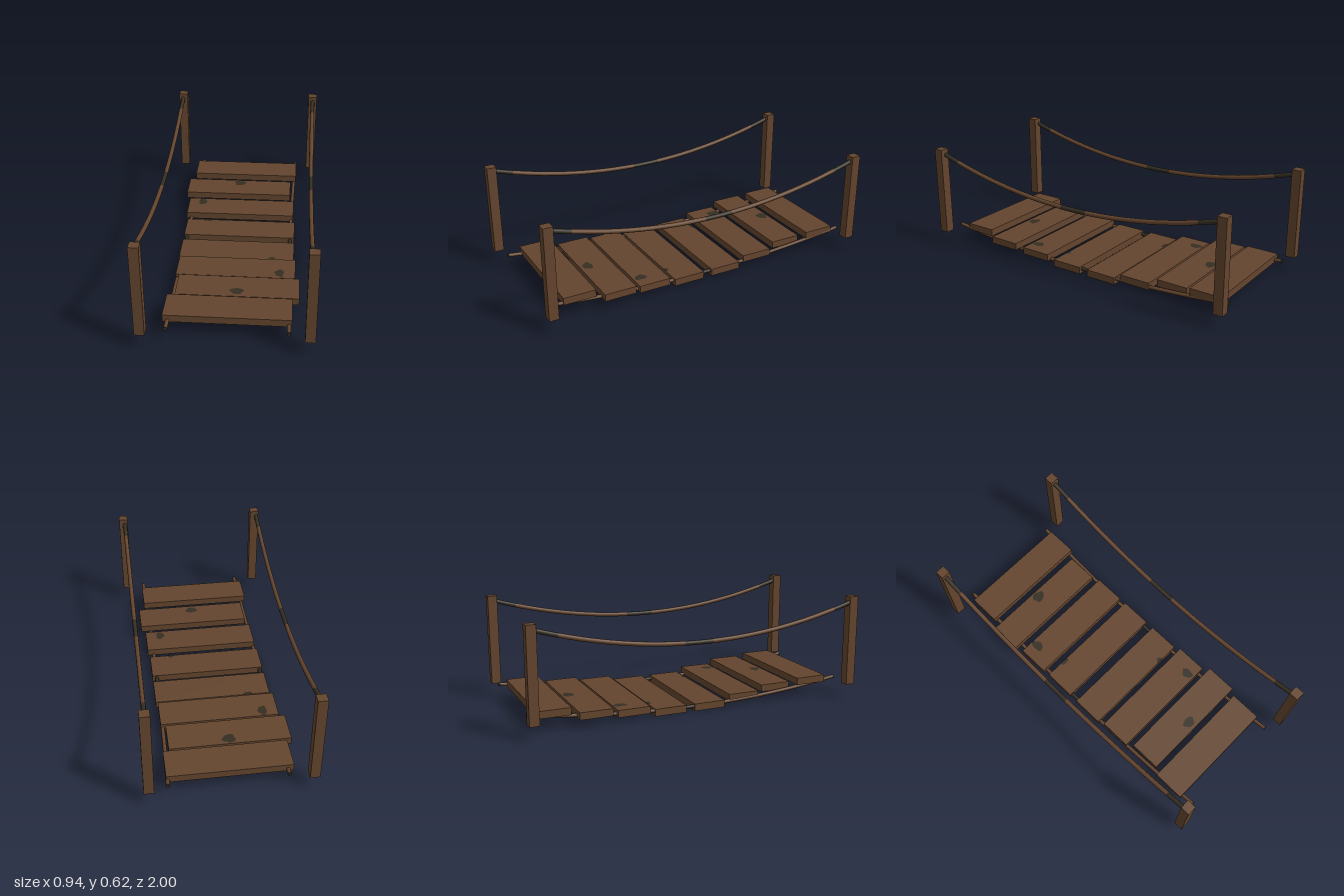
import * as THREE from 'three';

const wood = new THREE.MeshStandardMaterial({ color: 0x64452e });
wood.name = 'brownWood';
const stain = new THREE.MeshStandardMaterial({ color: 0x352e22 });
stain.name = 'darkStain';

const PLANK = { w: 0.685, h: 0.042, d: 0.19 };
// plank centres: x offset, bottom height, z
const PLANKS = [
  [0.002, 0.075, -0.832], [-0.033, 0.05, -0.605], [-0.008, 0.026, -0.378], [0.002, 0, -0.152],
  [0.002, 0, 0.093], [0.013, 0.026, 0.322], [0.038, 0.05, 0.548], [0.002, 0.075, 0.775],
];
// knots: plank index, x, z, half width, half depth, on the underside
const KNOTS = [
  [1, -0.03, -0.66, 0.04, 0.034], [2, -0.262, -0.43, 0.027, 0.042], [3, -0.21, -0.245, 0.028, 0.022],
  [4, 0.215, 0.185, 0.024, 0.02], [5, 0.265, 0.37, 0.028, 0.038], [6, 0.035, 0.595, 0.04, 0.03],
  [0, -0.01, -0.785, 0.04, 0.03, true], [3, 0.22, -0.235, 0.028, 0.02, true],
  [5, -0.23, 0.395, 0.028, 0.034, true], [7, 0.06, 0.71, 0.04, 0.03, true],
];

function box(name, w, h, d, x, y, z, material = wood) {
  const mesh = new THREE.Mesh(new THREE.BoxGeometry(w, h, d), material);
  mesh.name = name;
  mesh.position.set(x, y, z);
  return mesh;
}

// Flat, slightly uneven blob kept inside its plank's edges
function knot([index, x, z, rx, rz, under]) {
  const [, y, pz] = PLANKS[index];
  const limit = PLANK.d / 2;
  const points = [];
  for (let i = 0; i < 18; i++) {
    const a = (i / 18) * Math.PI * 2;
    const r = 0.95 + 0.1 * Math.sin(a * 3 + index) + 0.06 * Math.sin(a * 5);
    const dz = THREE.MathUtils.clamp(z - pz - rz * r * Math.sin(a), -limit, limit);
    points.push(new THREE.Vector2(x + rx * r * Math.cos(a), under ? dz : -dz));
  }
  // the underside blob runs the other way round, so the shape fixes its winding
  const mesh = new THREE.Mesh(new THREE.ShapeGeometry(new THREE.Shape(points)), stain);
  mesh.name = under ? 'undersideKnot' : 'plankKnot';
  mesh.rotation.x = under ? Math.PI / 2 : -Math.PI / 2;
  mesh.position.set(0, under ? y - 0.0015 : y + PLANK.h + 0.0015, pz);
  return mesh;
}

// Sagging rope made of alternating dark and brown lengths, with capped ends
function rope(name, xAt, yAt, radius, cuts) {
  const group = new THREE.Group();
  group.name = name;
  const at = (z) => new THREE.Vector3(xAt(z), yAt(z), z);
  for (let i = 0; i < cuts.length - 1; i++) {
    const points = [];
    for (let k = 0; k <= 6; k++) points.push(at(THREE.MathUtils.lerp(cuts[i], cuts[i + 1], k / 6)));
    const curve = new THREE.CatmullRomCurve3(points);
    const part = new THREE.Mesh(new THREE.TubeGeometry(curve, 12, radius, 10), i % 2 ? wood : stain);
    part.name = i % 2 ? 'ropeLength' : 'darkRopeLength';
    group.add(part);
  }
  for (const [z, sign] of [[cuts[0], -1], [cuts[cuts.length - 1], 1]]) {
    const cap = new THREE.Mesh(new THREE.CircleGeometry(radius, 10), stain);
    cap.name = 'ropeEnd';
    cap.position.copy(at(z));
    if (sign < 0) cap.rotation.y = Math.PI;
    group.add(cap);
  }
  return group;
}

export function createModel() {
  const model = new THREE.Group();
  model.name = 'ropeBridge';

  // Walkway planks
  const deck = new THREE.Group();
  deck.name = 'deck';
  for (const [x, y, z] of PLANKS) {
    deck.add(box('plank', PLANK.w, PLANK.h, PLANK.d, x, y + PLANK.h / 2, z));
  }
  KNOTS.forEach((k) => deck.add(knot(k)));

  // Grain streaks on a plank's front edge
  [[-0.175, 0.055, 0.08], [-0.175, 0.062, 0.105], [-0.178, 0.07, 0.1]].forEach(([x, y, w]) => {
    deck.add(box('grainStreak', w, 0.005, 0.003, x, y, 0.643, stain));
  });
  model.add(deck);

  // Corner posts
  for (const x of [-0.44, 0.44]) {
    for (const z of [-0.9725, 0.9725]) model.add(box('post', 0.055, 0.535, 0.055, x, 0.3475, z));
  }

  // Hand ropes between the posts
  const railY = (z) => 0.432 + 0.148 * (z / 0.95) ** 2;
  const railCuts = [-0.96, -0.83, -0.12, 0.05, 0.84, 0.96];
  model.add(rope('leftHandRope', (z) => 0.432 + 0.004 * z * z - 0.004 * z, railY, 0.013, railCuts));
  model.add(rope('rightHandRope', (z) => -0.45 + 0.002 * z * z - 0.005 * z, railY, 0.013, railCuts));

  // Ropes under the planks
  const deckY = (z) => 0.024 + 0.069 * (z / 0.96) ** 2;
  const deckCuts = [-0.975, -0.965, -0.1, 0.05, 0.945, 0.955];
  model.add(rope('leftDeckRope', (z) => 0.318 + 0.018 * z * z - 0.004 * z, deckY, 0.011, deckCuts));
  model.add(rope('rightDeckRope', (z) => -0.323 + 0.014 * z * z - 0.002 * z, deckY, 0.011, deckCuts));

  return model;
}
